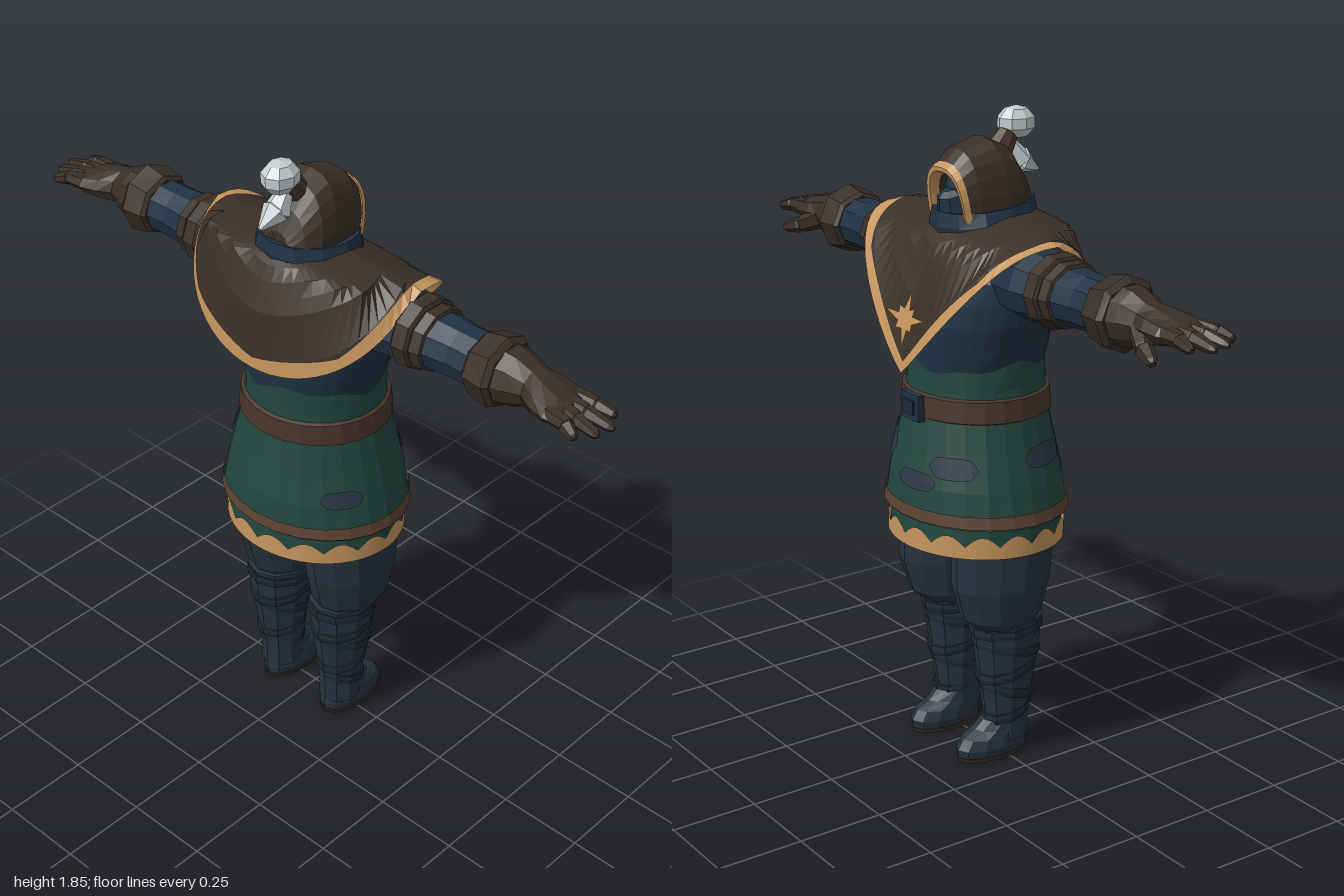
import * as THREE from 'three';

const mat = (name, color) => {
  const m = new THREE.MeshStandardMaterial({ color, side: THREE.DoubleSide });
  m.name = name;
  return m;
};
const M = {
  leather: mat('dark leather', 0x3a2f26), gold: mat('ochre trim', 0xc7965f),
  navy: mat('navy cloth', 0x203243), trousers: mat('slate trousers', 0x27323e),
  strap: mat('dark wrap', 0x1f2934), green: mat('green cloth', 0x22463e),
  belt: mat('belt brown', 0x49352b), stripe: mat('hem brown', 0x5d4333),
  hair: mat('white hair', 0xc4cecf), patch: mat('dusky patch', 0x2b3846),
};

function add(parent, name, geo, material) {
  const mesh = new THREE.Mesh(geo, material);
  mesh.name = name;
  parent.add(mesh);
  return mesh;
}

// faceted sheet from a rule fn(u, v) -> [x, y, z]
function sheet(fn, nu, nv) {
  const pos = [], idx = [];
  for (let j = 0; j <= nv; j++) for (let i = 0; i <= nu; i++) pos.push(...fn(i / nu, j / nv));
  for (let j = 0; j < nv; j++) for (let i = 0; i < nu; i++) {
    const a = j * (nu + 1) + i, b = a + 1, c = a + nu + 1, d = c + 1;
    idx.push(a, b, d, a, d, c);
  }
  const g = new THREE.BufferGeometry();
  g.setAttribute('position', new THREE.Float32BufferAttribute(pos, 3));
  g.setIndex(idx);
  const flat = g.toNonIndexed();
  flat.computeVertexNormals();
  return flat;
}

// closed loft through rings [y, rx, rz, cx, cz], listed upwards; tilt leans rings along z
function loft(rings, n = 12, tilt = 0, capped = true) {
  const f = rings[0], l = rings[rings.length - 1];
  const rows = capped ? [[f[0], 0, 0, f[3], f[4]], ...rings, [l[0], 0, 0, l[3], l[4]]] : rings;
  return sheet((u, v) => {
    const [y, rx, rz, cx = 0, cz = 0] = rows[Math.round(v * (rows.length - 1))];
    const a = u * Math.PI * 2, z = rz * Math.cos(a);
    return [cx + rx * Math.sin(a), y + z * tilt, cz + z];
  }, n, rows.length - 1);
}

// tapered rod between two points
function rod(p, q, r0, r1, n = 6) {
  const a = new THREE.Vector3(...p), b = new THREE.Vector3(...q), d = b.clone().sub(a);
  const g = loft([[0, r0 * 0.8, r0 * 0.8], [d.length() * 0.12, r0, r0],
    [d.length() * 0.85, r1, r1], [d.length(), r1 * 0.5, r1 * 0.5]], n);
  g.applyQuaternion(new THREE.Quaternion().setFromUnitVectors(new THREE.Vector3(0, 1, 0), d.normalize()));
  return g.translate(a.x, a.y, a.z);
}

// tunic surface: profile of [y, half width, half depth]
const BODY = [[0.745, 0.285, 0.245], [0.85, 0.262, 0.235], [1.03, 0.212, 0.198], [1.1, 0.205, 0.19],
  [1.18, 0.2, 0.19], [1.3, 0.25, 0.195], [1.42, 0.275, 0.18], [1.51, 0.24, 0.13], [1.56, 0.13, 0.1]];
function bodyPoint(a, y, out = 0) {
  let k = 0;
  while (k < BODY.length - 2 && y > BODY[k + 1][0]) k++;
  const [p, q] = [BODY[k], BODY[k + 1]], t = (y - p[0]) / (q[0] - p[0]);
  const rx = p[1] + (q[1] - p[1]) * t + out, rz = p[2] + (q[2] - p[2]) * t + out;
  return [rx * Math.sin(a), y, rz * Math.cos(a)];
}
const TAU = Math.PI * 2;
const greenTop = a => 1.18 + 0.014 * Math.sin(3 * a) + 0.008 * Math.sin(7 * a);

// cape surface: arc length s from the rim towards the neck at angle a
function capePoint(a, s, out = 0) {
  const sn = Math.sin(a), c = Math.cos(a), front = Math.max(0, -c);
  const cz = Math.sign(c) * Math.abs(c) ** 0.75, w = Math.abs(c);
  const V = (x, y, z) => new THREE.Vector3(x, y, z);
  const rim = V(0.37 * sn, c > 0 ? 1.55 - 0.28 * c : 1.16 + 0.39 * Math.abs(sn) ** 1.1, 0.25 * cz);
  const shoulder = V(0.335 * sn, 1.56 - 0.05 * front, (c > 0 ? 0.19 : 0.15) * cz);
  const mid = rim.clone().lerp(shoulder, 0.5).add(V(0, 0, (c > 0 ? 0.025 : 0.012) * w * Math.sign(c)));
  const neck = V(0.13 * sn, 1.585 - 0.04 * front, 0.02 + 0.13 * c);
  const path = [rim, mid, shoulder, neck];
  if (s < 0) s = path.slice(1).reduce((t, p, i) => t + p.distanceTo(path[i]), 0) * -s;
  let k = 0, d = path[0].distanceTo(path[1]);
  while (k < 2 && s > d) { s -= d; k++; d = path[k].distanceTo(path[k + 1]); }
  const p = path[k].clone().lerp(path[k + 1], Math.min(1, s / Math.max(d, 1e-6)));
  return [p.x + out * sn, p.y + out * 0.6, p.z + out * c];
}
const trimWidth = a => 0.032 + 0.016 * Math.abs(Math.sin(4 * a));

function buildBody(g) {
  add(g, 'skirt', sheet((u, v) => bodyPoint(u * TAU, 0.745 + v * 0.305), 24, 3), M.green);
  add(g, 'waist', sheet((u, v) => bodyPoint(u * TAU, 1.05 + v * (greenTop(u * TAU) - 1.05)), 32, 2), M.green);
  add(g, 'chest', sheet((u, v) => {
    const b = greenTop(u * TAU);
    return bodyPoint(u * TAU, b + v * (1.56 - b));
  }, 32, 6), M.navy);
  add(g, 'hemStripe', sheet((u, v) => bodyPoint(u * TAU, 0.75 + v * 0.035, 0.005), 24, 1), M.stripe);
  add(g, 'underSkirt', loft([[0.66, 0.264, 0.237], [0.77, 0.258, 0.228]], 24, 0, false), M.green);
  add(g, 'scallopedHem', sheet((u, v) => {
    const a = u * TAU, y = 0.658 + v * (0.035 + 0.03 * Math.abs(Math.sin(a * 8)));
    return [0.269 * Math.sin(a), y, 0.241 * Math.cos(a)];
  }, 96, 1), M.gold);
  // worn patches on the tunic: angle, half angle, height, half height
  for (const [a, w, y, h] of [[-1.25, 0.35, 0.93, 0.03], [2.5, 0.3, 0.93, 0.045],
    [-2.5, 0.3, 0.91, 0.03], [3.3, 0.28, 0.86, 0.025], [1.0, 0.25, 0.87, 0.025]]) {
    add(g, 'clothPatch', sheet((u, v) => {
      const t = u * 2 - 1;
      return bodyPoint(a + w * t, y + (v * 2 - 1) * h * Math.sqrt(1.02 - t ** 4), 0.005);
    }, 8, 2), M.patch);
  }
  add(g, 'belt', loft([[1.03, 0.212, 0.198], [1.035, 0.222, 0.208], [1.095, 0.215, 0.203], [1.1, 0.205, 0.19]],
    24, 0, false), M.belt);
  add(g, 'buckle', new THREE.BoxGeometry(0.085, 0.075, 0.02).translate(0, 1.06, -0.212), M.navy);
  add(g, 'bucklePlate', new THREE.BoxGeometry(0.05, 0.04, 0.008).translate(0, 1.06, -0.225), M.strap);
}

function buildCape(g) {
  add(g, 'capeTrim', sheet((u, v) => capePoint(u * TAU, v * trimWidth(u * TAU)), 64, 1), M.gold);
  add(g, 'capeLower', sheet((u, v) => {
    const a = u * TAU, s = trimWidth(a);
    const p = capePoint(a, s), q = capePoint(a, -0.5);
    return v === 0 ? p : capePoint(a, -0.5).map((_, i) => (v === 1 ? q[i] : capePoint(a, Math.max(s, 0.1 * v))[i]));
  }, 64, 2), M.leather);
  add(g, 'capeUpper', sheet((u, v) => capePoint(u * TAU, -(0.5 + 0.5 * v)), 64, 4), M.leather);
  // star ornament wrapped on the chest of the cape
  const star = new THREE.Shape();
  for (let i = 0; i < 16; i++) {
    const r = [0.078, 0.03, 0.045, 0.03][i % 4], t = (i / 16) * TAU;
    star[i ? 'lineTo' : 'moveTo'](r * Math.sin(t), r * Math.cos(t));
  }
  const geo = new THREE.ShapeGeometry(star), p = geo.attributes.position;
  for (let i = 0; i < p.count; i++)
    p.setXYZ(i, ...capePoint(Math.PI + p.getX(i) * 3.2, 0.145 + p.getY(i) - Math.abs(p.getX(i)) * 0.9, 0.012));
  geo.computeVertexNormals();
  add(g, 'chestOrnament', geo, M.gold);
  add(g, 'collar', loft([[1.53, 0.14, 0.14, 0, 0.02], [1.565, 0.145, 0.15, 0, 0.025],
    [1.605, 0.13, 0.145, 0, 0.025], [1.6, 0.105, 0.12, 0, 0.025], [1.55, 0.1, 0.11, 0, 0.02]], 12, 0.1, false), M.navy);
}

function buildHead(g) {
  // hood arches from the face to the back: [z, half width, top, bottom]
  const arch = rows => sheet((u, v) => {
    const [z, rx, top, bot] = rows[Math.round(v * (rows.length - 1))], a = u * Math.PI;
    const y = Math.sin(a) ** 0.7;
    return [rx * Math.sign(Math.cos(a)) * Math.abs(Math.cos(a)) ** 0.75, bot + (top - bot) * y,
      z + (1 - y) * 0.025];
  }, 12, rows.length - 1);
  add(g, 'hood', arch([[-0.1, 0.087, 1.72, 1.57], [-0.065, 0.1, 1.757, 1.56], [0.02, 0.112, 1.782, 1.55],
    [0.07, 0.108, 1.76, 1.55], [0.115, 0.085, 1.7, 1.55], [0.145, 0.05, 1.64, 1.55], [0.145, 0, 1.56, 1.55]]), M.leather);
  add(g, 'hoodTrim', arch([[-0.085, 0.07, 1.69, 1.57], [-0.115, 0.075, 1.7, 1.575],
    [-0.117, 0.087, 1.712, 1.57], [-0.098, 0.092, 1.726, 1.57]]), M.gold);
  add(g, 'maskedFace', new THREE.SphereGeometry(1, 12, 8).scale(0.08, 0.1, 0.1).translate(0, 1.63, 0.01), M.navy);
  add(g, 'maskFold', rod([0, 1.56, -0.06], [0, 1.65, -0.085], 0.055, 0.04, 8), M.navy);
  add(g, 'hairTie', rod([0, 1.735, 0.075], [0.005, 1.785, 0.115], 0.038, 0.03, 8), M.belt);
  add(g, 'hairBun', sheet((u, v) => {
    const a = u * TAU, b = (v - 0.5) * Math.PI;
    return [0.01 + 0.05 * Math.cos(b) * Math.sin(a), 1.805 + 0.047 * Math.sin(b), 0.142 + 0.058 * Math.cos(b) * Math.cos(a)];
  }, 8, 5), M.hair);
  add(g, 'hairTailRoot', rod([0, 1.755, 0.11], [-0.003, 1.69, 0.15], 0.022, 0.038), M.hair);
  add(g, 'hairTailTip', rod([-0.003, 1.705, 0.142], [-0.005, 1.67, 0.205], 0.038, 0.012), M.hair);
}

function buildArm(g) {
  const tube = (name, rings, m, n = 10) =>
    add(g, name, loft(rings, n).rotateZ(-Math.PI / 2).translate(0, 1.435, 0), m);
  tube('sleeve', [[0.18, 0.09, 0.1], [0.3, 0.1, 0.11], [0.42, 0.08, 0.09], [0.52, 0.075, 0.078], [0.6, 0.075, 0.08]], M.navy);
  tube('upperBand', [[0.355, 0.095, 0.1], [0.365, 0.103, 0.11], [0.405, 0.1, 0.108], [0.41, 0.09, 0.1]], M.leather);
  tube('lowerBand', [[0.41, 0.085, 0.09], [0.415, 0.092, 0.1], [0.445, 0.088, 0.095], [0.45, 0.075, 0.08]], M.leather);
  tube('gauntletCuff', [[0.58, 0.078, 0.085], [0.59, 0.09, 0.095], [0.655, 0.103, 0.102], [0.67, 0.085, 0.09]], M.leather, 8);
  tube('gauntlet', [[0.66, 0.083, 0.085], [0.7, 0.078, 0.075], [0.75, 0.055, 0.06], [0.79, 0.048, 0.075, 0, 0.008],
    [0.845, 0.036, 0.082, 0.002, 0.015], [0.88, 0.02, 0.07, 0.003, 0.02]], M.leather);
  const tips = [[0.965, -0.05], [0.995, 0], [0.985, 0.05], [0.95, 0.098]];
  tips.forEach(([x, z], i) => {
    const k = [0.92, 1.435, -0.04 + i * 0.04];
    add(g, 'fingerBase', rod([0.84, 1.435, -0.035 + i * 0.034], k, 0.025, 0.021), M.leather);
    add(g, 'fingerTip', rod([0.905, 1.435, k[2]], [x, 1.422, z], 0.021, 0.014), M.leather);
  });
  add(g, 'thumbBase', rod([0.75, 1.425, -0.03], [0.82, 1.39, -0.075], 0.034, 0.026), M.leather);
  add(g, 'thumbTip', rod([0.81, 1.395, -0.07], [0.875, 1.375, -0.095], 0.025, 0.016), M.leather);
}

function buildLeg(g) {
  add(g, 'trouserLeg', loft([[0.4, 0.08, 0.085, 0.125, 0.01], [0.44, 0.102, 0.122, 0.13, -0.005],
    [0.54, 0.116, 0.15, 0.134, -0.008], [0.66, 0.122, 0.155, 0.13, 0], [0.8, 0.12, 0.15, 0.12, 0]], 12), M.trousers);
  add(g, 'bootShaft', loft([[0.05, 0.06, 0.068, 0.12, 0.02], [0.12, 0.06, 0.068, 0.12, 0.02], [0.24, 0.074, 0.084, 0.122, 0.018],
    [0.35, 0.088, 0.1, 0.124, 0.018], [0.425, 0.093, 0.107, 0.125, 0.018]], 10), M.trousers);
  // wraps wound around the shin
  [[0.13, 0.064, 0.072, 0.25], [0.2, 0.073, 0.082, -0.25], [0.27, 0.082, 0.092, 0.3], [0.335, 0.09, 0.102, -0.2],
    [0.395, 0.096, 0.11, 0.05]].forEach(([y, rx, rz, tilt]) => add(g, 'shinWrap', loft([[y - 0.014, rx - 0.002, rz - 0.002, 0.123, 0.018],
    [y, rx + 0.001, rz + 0.001, 0.123, 0.018], [y + 0.014, rx, rz, 0.123, 0.018]], 10, tilt), M.strap));
  add(g, 'shoe', loft([[0.012, 0.058, 0.115, 0.118, -0.028], [0.035, 0.062, 0.118, 0.118, -0.028],
    [0.065, 0.058, 0.105, 0.118, -0.022], [0.085, 0.055, 0.085, 0.118, 0.0], [0.12, 0.056, 0.065, 0.12, 0.02]], 12), M.trousers);
  add(g, 'sole', loft([[0, 0.058, 0.114, 0.118, -0.028], [0.013, 0.061, 0.118, 0.118, -0.028]], 12), M.leather);
}

export function createModel() {
  const model = new THREE.Group();
  model.name = 'hoodedArcher';
  for (const [name, build] of [['body', buildBody], ['cape', buildCape], ['head', buildHead]]) {
    const g = new THREE.Group();
    g.name = name;
    build(g);
    model.add(g);
  }
  // limbs are built on the left and mirrored
  for (const [side, s] of [['left', 1], ['right', -1]])
    for (const [name, build] of [['Arm', buildArm], ['Leg', buildLeg]]) {
      const g = new THREE.Group();
      g.name = side + name;
      build(g);
      g.scale.x = s;
      model.add(g);
    }
  return model;
}
